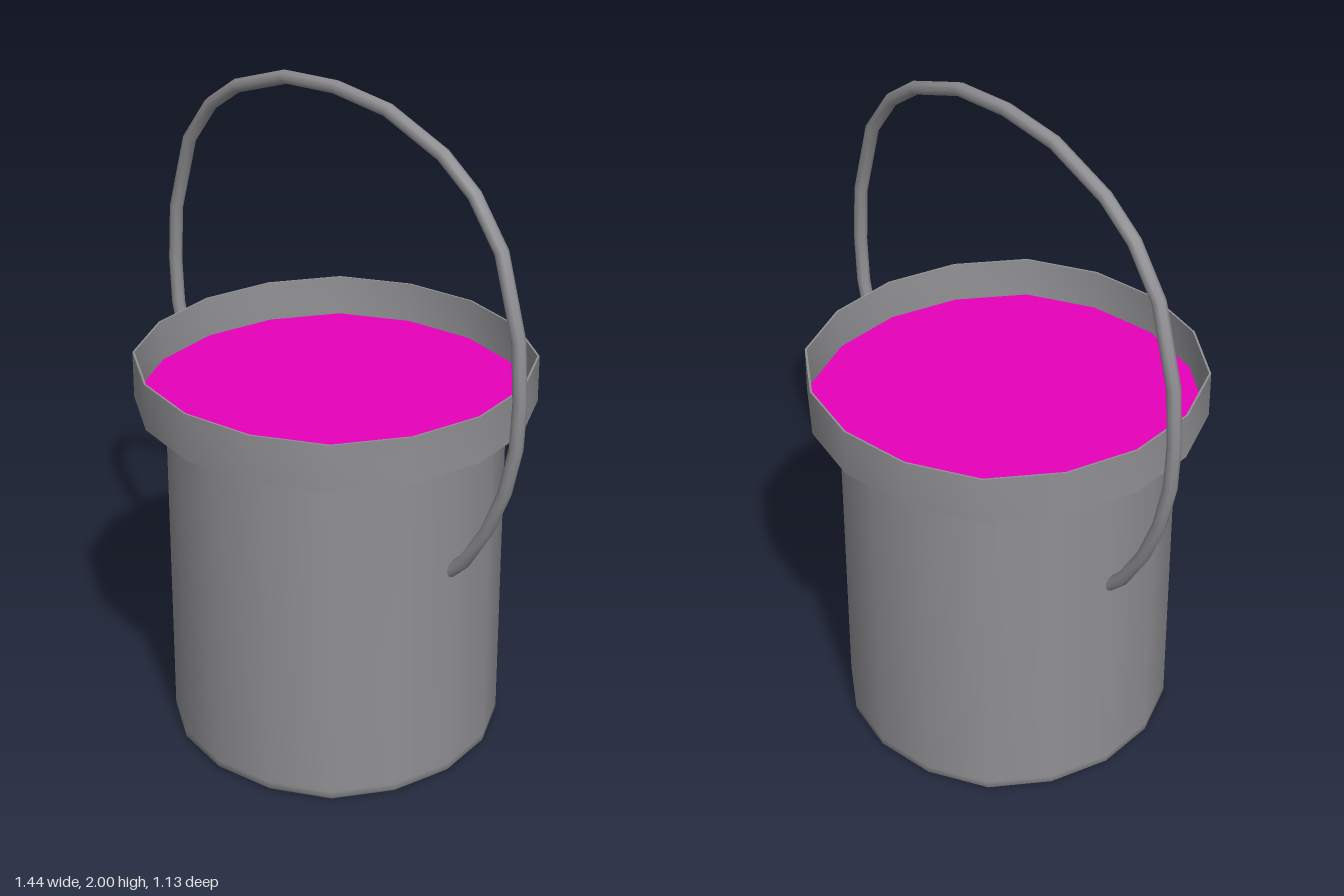
import * as THREE from 'three';
import { toCreasedNormals } from 'three/addons/utils/BufferGeometryUtils.js';

const SIDES = 16;

// Turned shape whose outline bulges slightly on the diagonals
function lathe(profile) {
  const geometry = new THREE.LatheGeometry(profile.map(([r, y]) => new THREE.Vector2(r, y)), SIDES);
  const position = geometry.attributes.position;
  for (let i = 0; i < position.count; i++) {
    const x = position.getX(i), z = position.getZ(i);
    const bulge = 1 + 0.028 * Math.sin(2 * Math.atan2(z, x)) ** 4;
    position.setX(i, x * bulge);
    position.setZ(i, z * bulge);
  }
  return toCreasedNormals(geometry, 0.9);
}

export function createModel() {
  const group = new THREE.Group();
  const grey = new THREE.MeshStandardMaterial({ color: 0x908f93 });
  const pink = new THREE.MeshStandardMaterial({ color: 0xe700bb });

  const add = (name, geometry, material) => {
    const mesh = new THREE.Mesh(geometry, material);
    mesh.name = name;
    group.add(mesh);
    return mesh;
  };

  // Bucket wall and floor, with a small soft bevel at the base
  add('body', lathe([[0, 0], [0.45, 0], [0.467, 0], [0.477, 0.01], [0.477, 0.03], [0.477, 1.045]]), grey);

  // Wide collar: underside, outer wall, thin lip and inner wall
  add('rim', lathe([
    [0.475, 1.04], [0.564, 1.05], [0.564, 1.19], [0.558, 1.19], [0.553, 1.065],
  ]), grey);

  // Paint surface filling the collar
  add('paint', lathe([[0.555, 1.07], [0, 1.07]]), pink);

  // Wire handle, one half mirrored about x = 0
  const half = [
    [0.455, 0.665], [0.52, 0.728], [0.6, 0.855], [0.66, 0.995], [0.695, 1.14], [0.702, 1.28],
    [0.69, 1.45], [0.62, 1.68], [0.52, 1.81], [0.405, 1.89], [0.2, 1.963],
  ];
  const points = [
    ...half.map(([x, y]) => new THREE.Vector3(-x, y, 0)),
    new THREE.Vector3(0, 1.98, 0),
    ...half.slice().reverse().map(([x, y]) => new THREE.Vector3(x, y, 0)),
  ];
  const curve = new THREE.CatmullRomCurve3(points);
  // One ring of the tube at each path point
  curve.getPointAt = curve.getPoint;
  curve.getTangentAt = curve.getTangent;
  add('handle', new THREE.TubeGeometry(curve, points.length - 1, 0.02, 8), grey);

  // Rounded ends where the handle meets the wall
  for (const end of [points[0], points[points.length - 1]]) {
    add('handleEnd', new THREE.SphereGeometry(0.02, 8, 6), grey).position.copy(end);
  }

  return group;
}
